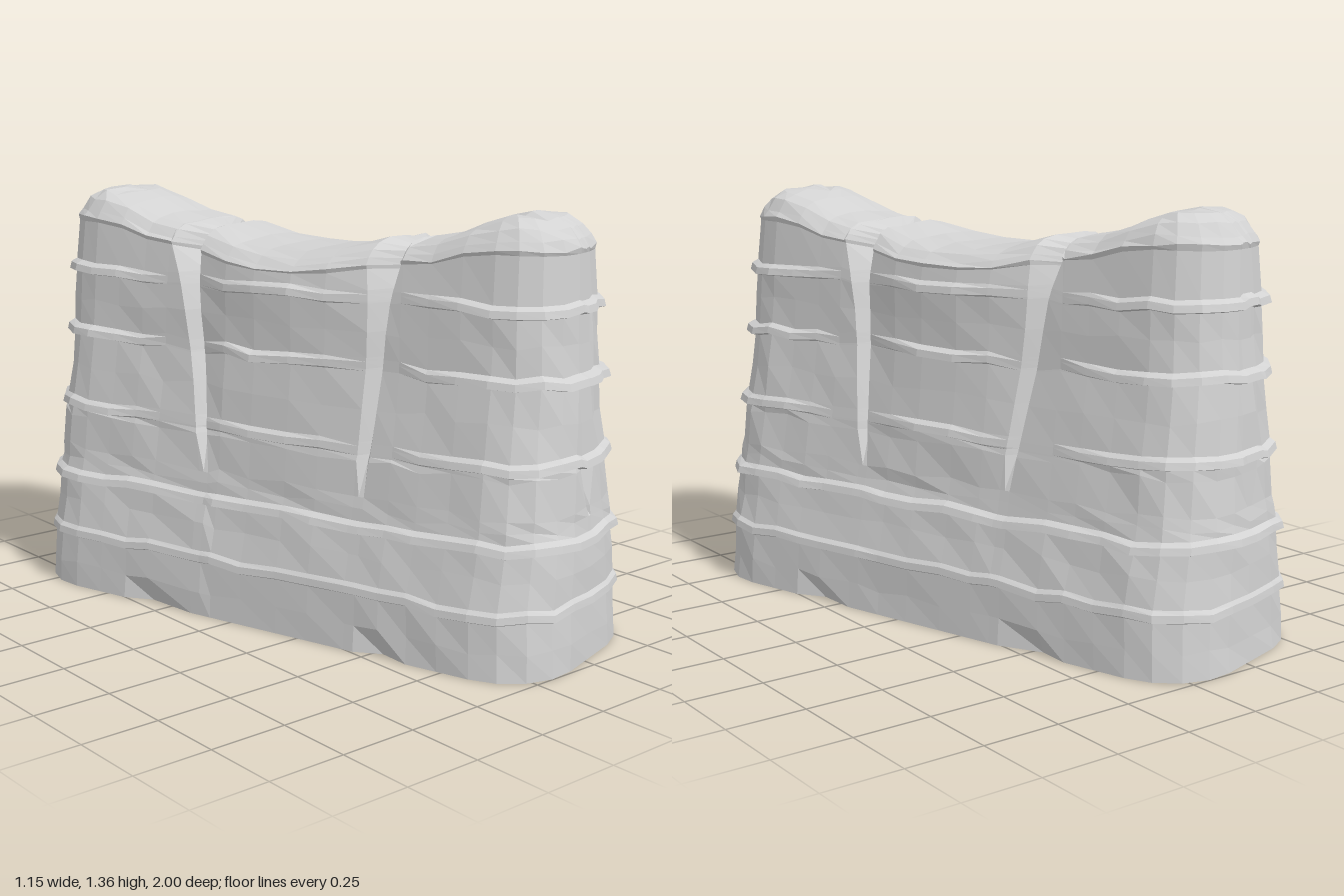
import * as THREE from 'three';

// Linear interpolation in a short table of [key, value...] entries
function sample(table, key, i = 1) {
  if (key <= table[0][0]) return table[0][i];
  for (let n = 1; n < table.length; n++) {
    const a = table[n - 1], b = table[n];
    if (key <= b[0]) return a[i] + (b[i] - a[i]) * (key - a[0]) / (b[0] - a[0]);
  }
  return table[table.length - 1][i];
}

// Repeatable noise from -1 to 1
function noise(a, b) {
  const s = Math.sin(a * 127.1 + b * 311.7) * 43758.5453;
  return (s - Math.floor(s)) * 2 - 1;
}

// Height, half length, half width, corner radius of the tapering plan
const TAPER = [
  [0, 0.993, 0.36, 0.225], [0.2, 0.983, 0.35, 0.225], [0.4, 0.978, 0.312, 0.21], [0.62, 0.963, 0.28, 0.2],
  [0.86, 0.95, 0.24, 0.19], [1.07, 0.94, 0.23, 0.185], [1.25, 0.93, 0.21, 0.18],
];
// Saddle-shaped crest: distance from the middle, height, drop to the rim
const CREST = [
  [0, 1.2, 0.055], [0.15, 1.21, 0.06], [0.3, 1.25, 0.075], [0.45, 1.26, 0.06],
  [0.55, 1.28, 0.07], [0.68, 1.335, 0.085], [0.78, 1.355, 0.1], [0.95, 1.35, 0.1],
];
// Height and overhang of each ledge
const LEDGES = [[0.195, 0.016], [0.39, 0.028], [0.63, 0.026], [0.875, 0.036], [1.085, 0.03]];
// Strength of the upper ledges by distance from the middle: they die away at the cracks
const FADE = [[0, 1], [0.1, 0.9], [0.22, 0.25], [0.3, 0], [0.46, 0], [0.56, 0.45], [0.68, 0.95], [0.9, 1]];
// Growth of the cracks from foot (0) to crest (1): half width, depth
const CRACK = [[0, 0.018, 0], [0.05, 0.02, 0.03], [0.75, 0.035, 0.07], [1, 0.06, 0.13]];
// Half width of the notch in the front end by height
const NOTCH = [[0.48, 0.012], [0.6, 0.048]];

// Columns around the plan, running +x side, +z end, -x side, -z end
const COLUMNS = [];
for (const side of [1, -1]) {
  const lower = side > 0 ? [-0.284, 0.3] : [-0.25, 0.345];
  const flat = f => COLUMNS.push({ side, kind: 'flat', f: f * side });
  const mid = u => COLUMNS.push({ side, kind: 'mid', u: u * side });
  const crack = (dir) => {
    for (const e of [-1, 0, 1]) {
      COLUMNS.push({ side, kind: 'crack', e: e * side, dir: dir * side, foot: lower[dir * side > 0 ? 1 : 0] });
    }
  };
  [-1, -0.86, -0.72, -0.59].forEach(flat);
  crack(-1);
  [-0.19, -0.07, 0.07, 0.19].forEach(mid);
  crack(1);
  [0.59, 0.72, 0.86, 1].forEach(flat);
  for (let n = 1; n <= 4; n++) COLUMNS.push({ side, kind: 'arc', sx: 1, a: n * Math.PI / 8 });
  for (const e of [1, 0, -1]) COLUMNS.push({ side, kind: 'tip', e });
  for (let n = 4; n >= 1; n--) COLUMNS.push({ side, kind: 'arc', sx: -1, a: n * Math.PI / 8 });
}

// Plan position of a column at height y, pushed outward by o
function plan(c, y, o) {
  const L = sample(TAPER, y, 1) + o, W = sample(TAPER, y, 2) + o, r = sample(TAPER, y, 3) + o;
  const k = THREE.MathUtils.clamp((y - 0.48) / 0.74, 0, 1);
  if (c.kind === 'arc') {
    return [c.side * c.sx * (W - r + r * Math.cos(c.a)), c.side * (L - r + r * Math.sin(c.a))];
  }
  if (c.kind === 'tip') return [c.side * c.e * Math.min(sample(NOTCH, y), (W - r) * 0.6), c.side * L];
  if (c.kind === 'flat') return [c.side * W, c.f * (L - r)];
  if (c.kind === 'mid') return [c.side * (W + 0.05 * k * (1 - (c.u / 0.33) ** 2)), c.u];
  const u = c.foot + (c.dir * 0.375 - c.foot) * k + c.e * sample(CRACK, k, 1);
  const depth = c.e === 0 ? sample(CRACK, k, 2) : 0;
  return [c.side * (W - depth), u];
}

// One vertex of a wall row
function wallPoint(row, c, j) {
  // Columns of one crack or tip share their roughness
  const seed = c.kind === 'crack' ? 100 + c.foot : c.kind === 'tip' ? 200 + c.side : j;
  let o = row.o || 0;
  let y = row.y;
  if (row.ledge !== undefined) {
    const u = Math.abs(plan(c, row.y, 0)[1]);
    o *= (row.ledge < 2 ? 1 : sample(FADE, u)) * (0.85 + 0.2 * noise(seed, row.ledge));
    y += 0.008 * noise(seed, row.ledge + 20);
  } else if (y > 0) {
    o += 0.005 * noise(seed, y);
    y += 0.01 * noise(seed, y + 5);
  }
  // Chips at the foot and a notch in the front end
  if (row.y === 0 && c.kind === 'flat' && Math.abs(c.f) < 0.6) o -= 0.035;
  if (row.notch && c.kind === 'tip' && c.side > 0 && c.e === 0) o -= row.notch;
  const [x, z] = plan(c, row.y, o);
  return [x, y, z];
}

// One vertex of the summit: s shrinks towards the spine, h rises to the crest
function capPoint(row, c, j) {
  const [px, pz] = plan(c, 1.22, row.o || 0);
  const spine = 0.7;
  const mz = THREE.MathUtils.clamp(pz, -spine, spine);
  const x = px * row.s, z = mz + (pz - mz) * row.s;
  const u = Math.abs(z);
  const drop = sample(CREST, u, 2);
  const dip = c.kind === 'crack' && c.e === 0 ? 0.02 : 0;
  const rough = row.s > 0 && row.h > 0 ? 0.006 * noise(j, row.h) : 0;
  return [x, sample(CREST, u, 1) - drop * (1 - row.h) - dip + rough, z];
}

export function createModel() {
  const group = new THREE.Group();
  const stone = new THREE.MeshStandardMaterial({ color: 0xd2d2d2 });
  stone.name = 'grey stone';

  // Rows from the ground to the crest
  const rows = [{ y: 0 }, { y: 0.08 }];
  const between = [[0.3], [0.44, 0.48, 0.59], [0.75], [0.98], []];
  const notches = { 0.48: 0.02, 0.59: 0.045 };
  const parts = [];
  let start = 0;
  LEDGES.forEach(([y, o], n) => {
    const first = rows.length;
    rows.push({ y: y - 0.02, ledge: n, o: 0 }, { y: y - 0.014, ledge: n, o },
      { y: y + 0.008, ledge: n, o: o * 0.85 }, { y: y + 0.02, ledge: n, o: 0.002 });
    parts.push(['cliffTier' + (n + 1), start, first], ['rockLedge' + (n + 1), first, first + 3]);
    start = first + 3;
    between[n].forEach(m => rows.push({ y: m, notch: notches[m] }));
  });
  const rim = rows.length;
  rows.push({ s: 1, h: -0.1 }, { s: 1, h: 0.05, o: 0.004 }, { s: 0.95, h: 0.3 }, { s: 0.84, h: 0.64 },
    { s: 0.66, h: 0.86 }, { s: 0.35, h: 0.97 }, { s: 0, h: 1 });
  parts.push(['upperCliff', start, rim], ['summit', rim, rows.length - 1]);

  const grid = rows.map(row => COLUMNS.map((c, j) =>
    row.s === undefined ? wallPoint(row, c, j) : capPoint(row, c, j)));
  const count = COLUMNS.length;

  // Faceted mesh from a list of triangle corners
  const addMesh = (name, corners) => {
    const geometry = new THREE.BufferGeometry();
    geometry.setAttribute('position', new THREE.Float32BufferAttribute(corners.flat(), 3));
    geometry.computeVertexNormals();
    const mesh = new THREE.Mesh(geometry, stone);
    mesh.name = name;
    group.add(mesh);
  };

  for (const [name, from, to] of parts) {
    const corners = [];
    for (let i = from; i < to; i++) {
      for (let j = 0; j < count; j++) {
        const n = (j + 1) % count;
        const a = grid[i][j], b = grid[i][n], c = grid[i + 1][n], d = grid[i + 1][j];
        corners.push(a, d, c, a, c, b);
      }
    }
    addMesh(name, corners);
  }

  // Flat underside
  const under = [];
  grid[0].forEach((p, j) => under.push([0, 0, 0], p, grid[0][(j + 1) % count]));
  addMesh('underside', under);

  // The butte lies turned on its footing
  group.rotation.y = 0.288;
  group.name = 'rockButte';
  return group;
}
